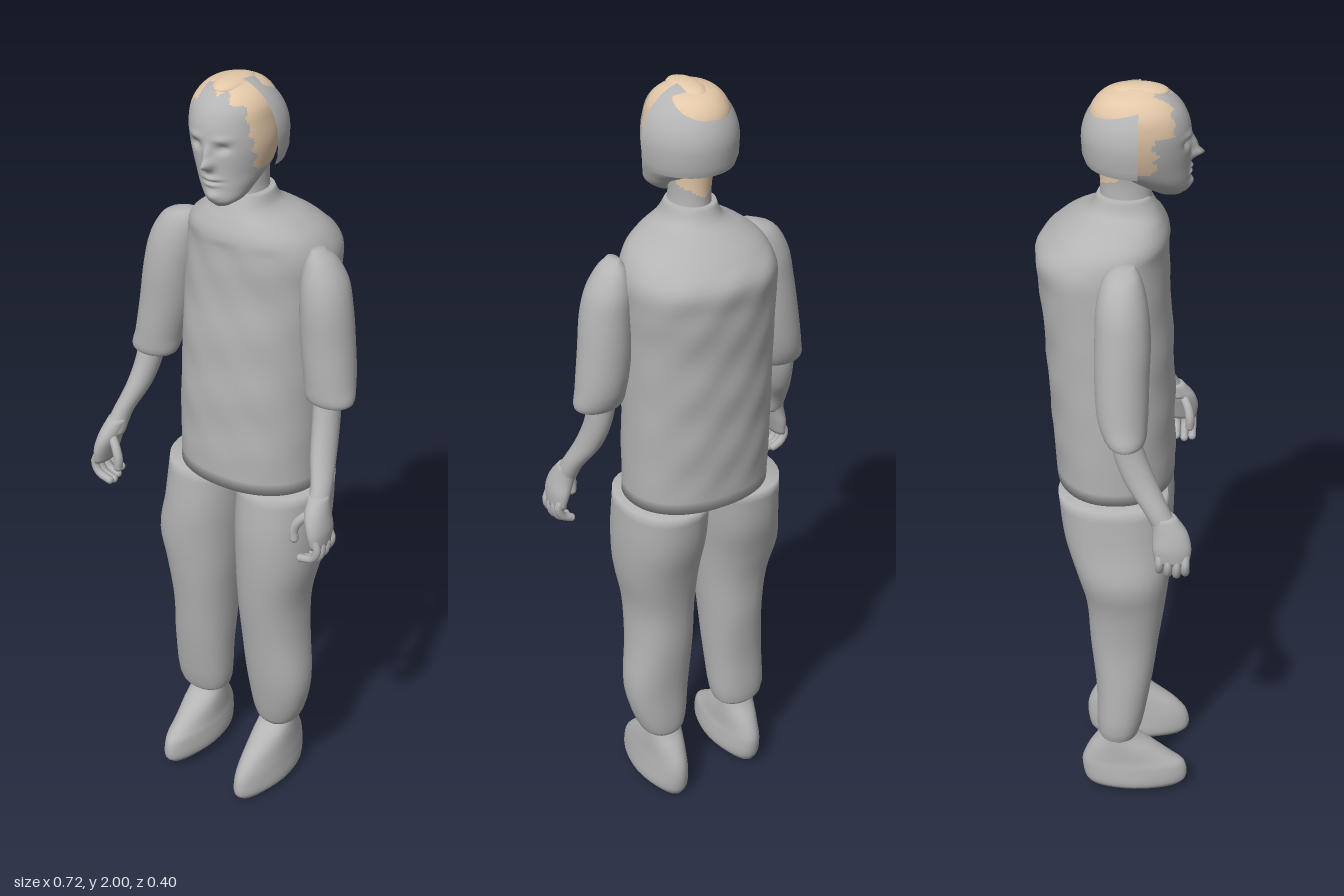
import * as THREE from 'three';

const grey = new THREE.MeshStandardMaterial({ color: 0xb4b4b4, side: THREE.DoubleSide });
grey.name = 'plain grey';
const skin = new THREE.MeshStandardMaterial({ color: 0xe3c8a8, side: THREE.DoubleSide });
skin.name = 'skin tone';

// Smooth skin through horizontal rings, bottom to top: [y, xMin, xMax, zBack, zFront]
function loft(rings, { seg = 32, steps = 28, power = 2, deform, isSkin } = {}) {
  const curves = [0, 1, 2, 3].map(k =>
    new THREE.CatmullRomCurve3(rings.map(r => new THREE.Vector3(r[k + 1], r[0], 0)), false, 'centripetal'));
  const pts = [];
  for (let i = 0; i <= steps; i++) {
    const c = curves.map(q => q.getPoint(i / steps));
    const [x0, x1, z0, z1] = c.map(p => p.x);
    for (let j = 0; j < seg; j++) {
      const a = j / seg * Math.PI * 2, s = Math.sin(a), k = Math.cos(a);
      const e = v => Math.sign(v) * Math.abs(v) ** (2 / power);
      const p = new THREE.Vector3((x0 + x1) / 2 + (x1 - x0) / 2 * e(s), c[0].y, (z0 + z1) / 2 + (z1 - z0) / 2 * e(k));
      if (deform) deform(p, k);
      pts.push(p);
    }
  }
  // centre points close both ends
  for (const r of [rings[0], rings[rings.length - 1]])
    pts.push(new THREE.Vector3((r[1] + r[2]) / 2, r[0], (r[3] + r[4]) / 2));
  const lists = [[], []];
  const tri = (a, b, c) => {
    const m = pts[a].clone().add(pts[b]).add(pts[c]).divideScalar(3);
    lists[isSkin && isSkin(m) ? 1 : 0].push(a, b, c);
  };
  const bottom = pts.length - 2, top = pts.length - 1, last = steps * seg;
  for (let j = 0; j < seg; j++) {
    const n = (j + 1) % seg;
    for (let i = 0; i < steps; i++) {
      const a = i * seg + j, b = i * seg + n;
      tri(a, b, b + seg);
      tri(a, b + seg, a + seg);
    }
    tri(bottom, n, j);
    tri(top, last + j, last + n);
  }
  const g = new THREE.BufferGeometry().setFromPoints(pts);
  g.setIndex([...lists[0], ...lists[1]]);
  g.addGroup(0, lists[0].length, 0);
  g.addGroup(lists[0].length, lists[1].length, 1);
  g.computeVertexNormals();
  return g;
}

export function createModel() {
  const model = new THREE.Group();
  const add = (name, geometry, material = grey) => {
    const m = new THREE.Mesh(geometry, material);
    m.name = name;
    model.add(m);
    return m;
  };
  const addLoft = (name, rings, opt = {}) => add(name, loft(rings, opt), opt.isSkin ? [grey, skin] : grey);

  // Long loose shirt with faint folds
  addLoft('shirt', [
    [0.945, -0.17, 0.212, -0.155, 0.143], [1.1, -0.172, 0.212, -0.165, 0.142],
    [1.25, -0.17, 0.212, -0.175, 0.138], [1.4, -0.168, 0.215, -0.185, 0.13],
    [1.5, -0.166, 0.222, -0.196, 0.122], [1.57, -0.162, 0.224, -0.2, 0.122],
    [1.62, -0.145, 0.2, -0.16, 0.122], [1.655, -0.105, 0.155, -0.115, 0.11],
    [1.685, -0.055, 0.095, -0.07, 0.095], [1.72, -0.04, 0.078, -0.05, 0.075],
  ], {
    seg: 56, steps: 44, power: 2.2,
    deform: p => {
      if (p.y > 1 && p.y < 1.6) p.z += 0.003 * Math.sin(p.y * 38 + p.x * 22) * Math.sin(p.x * 31 + 1);
    },
  });

  // Trouser legs
  addLoft('rightTrouserLeg', [
    [0.19, -0.165, -0.075, -0.035, 0.05], [0.205, -0.193, -0.056, -0.045, 0.062],
    [0.35, -0.198, -0.038, -0.05, 0.092], [0.5, -0.192, -0.026, -0.066, 0.112],
    [0.62, -0.205, -0.015, -0.075, 0.128], [0.72, -0.226, -0.006, -0.1, 0.138],
    [0.82, -0.21, 0.005, -0.13, 0.14], [0.945, -0.2, 0.018, -0.146, 0.13],
  ], { power: 2.2 });
  addLoft('leftTrouserLeg', [
    [0.18, 0.075, 0.155, -0.035, 0.05], [0.2, 0.058, 0.176, -0.045, 0.062],
    [0.33, 0.038, 0.215, -0.05, 0.09], [0.48, 0.028, 0.204, -0.066, 0.11],
    [0.6, 0.024, 0.204, -0.075, 0.127], [0.72, 0.018, 0.228, -0.1, 0.138],
    [0.83, 0.012, 0.236, -0.132, 0.14], [0.945, 0.012, 0.234, -0.146, 0.13],
  ], { power: 2.2 });

  // Shoes, with the toe drawn in towards a point
  for (const [name, x, y] of [['rightShoe', -0.121, 0.015], ['leftShoe', 0.113, 0]]) {
    addLoft(name, [
      [y, x - 0.04, x + 0.04, -0.07, 0.172], [y + 0.02, x - 0.056, x + 0.056, -0.082, 0.19],
      [y + 0.07, x - 0.054, x + 0.054, -0.09, 0.186], [0.11, x - 0.05, x + 0.05, -0.085, 0.155],
      [0.15, x - 0.048, x + 0.048, -0.066, 0.1], [0.185, x - 0.045, x + 0.045, -0.042, 0.05],
      [0.215, x - 0.04, x + 0.04, -0.03, 0.04],
    ], { power: 2.1, deform: p => { if (p.z > 0.06) p.x += (x - p.x) * (p.z - 0.06) * 1.6; } });
  }

  // Sleeves
  addLoft('rightSleeve', [
    [1.19, -0.3, -0.225, 0.0, 0.06], [1.2, -0.322, -0.2, -0.015, 0.078],
    [1.25, -0.312, -0.185, -0.036, 0.084], [1.35, -0.296, -0.158, -0.045, 0.086],
    [1.45, -0.28, -0.14, -0.045, 0.088], [1.53, -0.262, -0.125, -0.042, 0.08],
    [1.59, -0.225, -0.12, -0.025, 0.062], [1.613, -0.175, -0.135, 0.005, 0.045],
  ]);
  addLoft('leftSleeve', [
    [1.22, 0.235, 0.315, 0.0, 0.06], [1.23, 0.212, 0.337, -0.015, 0.078],
    [1.28, 0.205, 0.335, -0.036, 0.084], [1.38, 0.192, 0.326, -0.045, 0.086],
    [1.48, 0.19, 0.315, -0.045, 0.088], [1.54, 0.19, 0.3, -0.042, 0.08],
    [1.59, 0.2, 0.27, -0.022, 0.062], [1.615, 0.215, 0.24, 0.005, 0.045],
  ]);

  // Forearms, palms and curled fingers
  for (const [side, s] of [['right', -1], ['left', 1]]) {
    const ring = (y, inner, outer, z0, z1) => [y, Math.min(s * inner, s * outer), Math.max(s * inner, s * outer), z0, z1];
    addLoft(side + 'Forearm', [
      ring(0.98, 0.29, 0.342, 0.105, 0.17), ring(1.03, 0.284, 0.334, 0.078, 0.142),
      ring(1.1, 0.256, 0.316, 0.03, 0.108), ring(1.17, 0.24, 0.305, 0.002, 0.08), ring(1.25, 0.23, 0.3, -0.01, 0.06),
    ], { seg: 20 });
    addLoft(side + 'Palm', [
      ring(0.9, 0.322, 0.354, 0.108, 0.19), ring(0.94, 0.308, 0.356, 0.1, 0.195),
      ring(0.98, 0.294, 0.348, 0.1, 0.185), ring(1.02, 0.288, 0.336, 0.092, 0.155),
    ], { seg: 20, steps: 12 });
    const digit = (name, path, r) => {
      const v = path.map(p => new THREE.Vector3(s * p[0], p[1], p[2]));
      add(name, new THREE.TubeGeometry(new THREE.CatmullRomCurve3(v), 8, r, 8));
      add(name + 'Tip', new THREE.SphereGeometry(r, 8, 6)).position.copy(v[v.length - 1]);
    };
    for (let i = 0; i < 4; i++) {
      const z = 0.118 + i * 0.021, d = [0.014, 0.004, 0, 0.008][i];
      digit(side + 'Finger' + (i + 1),
        [[0.338, 0.925, z], [0.348, 0.89 + d, z], [0.335, 0.863 + d, z], [0.312 - i * 0.004, 0.852 + d, z]], 0.0105);
    }
    digit(side + 'Thumb', [[0.31, 0.98, 0.155], [0.285, 0.955, 0.17], [0.274, 0.93, 0.175], [0.276, 0.905, 0.175]], 0.012);
  }

  // Neck with bare nape
  addLoft('neck', [
    [1.66, -0.04, 0.09, -0.05, 0.09], [1.71, -0.032, 0.07, -0.045, 0.08],
    [1.76, -0.03, 0.066, -0.045, 0.075], [1.84, -0.04, 0.07, -0.055, 0.07],
  ], { isSkin: p => p.y > 1.74 + Math.abs(p.x - 0.015) * 0.6 && p.z < 0 });

  // Head: features are soft bumps and dents [x, y, width, height, depth]
  const features = [
    [0.021, 1.826, 0.011, 0.013, 0.03], [0.017, 1.85, 0.008, 0.02, 0.016],
    [-0.02, 1.866, 0.015, 0.01, -0.012], [0.05, 1.866, 0.015, 0.01, -0.012],
    [-0.022, 1.888, 0.02, 0.008, 0.005], [0.05, 1.888, 0.02, 0.008, 0.005],
    [0.025, 1.791, 0.02, 0.006, 0.008], [0.026, 1.776, 0.018, 0.005, 0.006],
    [0.026, 1.784, 0.022, 0.003, -0.006], [0.03, 1.75, 0.018, 0.012, 0.008],
  ];
  addLoft('head', [
    [1.718, 0.01, 0.05, 0.09, 0.15], [1.735, -0.012, 0.072, 0.06, 0.167],
    [1.765, -0.04, 0.085, 0.012, 0.168], [1.8, -0.062, 0.095, -0.045, 0.168],
    [1.86, -0.083, 0.104, -0.065, 0.17], [1.91, -0.09, 0.1, -0.07, 0.167],
    [1.95, -0.086, 0.092, -0.062, 0.15], [1.98, -0.064, 0.068, -0.035, 0.118],
    [1.996, -0.025, 0.03, 0.015, 0.075],
  ], {
    seg: 80, steps: 80, power: 2.1,
    deform: (p, front) => {
      if (front < 0.2) return;
      for (const [x, y, w, h, d] of features)
        p.z += d * Math.exp(-(((p.x - x) / w) ** 2) - ((p.y - y) / h) ** 2);
    },
    // bare scalp with a ragged hairline
    isSkin: p => {
      if (p.y < 1.8) return false;
      const ragged = 0.007 * Math.sin(p.x * 150) + 0.006 * Math.sin(p.y * 170);
      if (p.x < -0.04) return p.z < (p.y > 1.9 ? 0.132 : 0.085) + ragged;
      if (p.x < -0.01) return p.z < 0.085 + ragged;
      return p.z < 0.08 + (p.y - 1.8) * 0.2 + ragged;
    },
  });

  // Rounded half shell over the back of the head
  const shell = [[0.114, 1.808], [0.121, 1.83], [0.123, 1.87]].map(p => new THREE.Vector2(...p));
  for (let i = 1; i <= 14; i++) {
    const a = i / 14 * Math.PI / 2;
    shell.push(new THREE.Vector2(0.123 * Math.cos(a), 1.87 + 0.13 * Math.sin(a)));
  }
  const cap = add('backHair', new THREE.LatheGeometry(shell, 40, Math.PI / 2, Math.PI));
  cap.scale.z = 1.12;
  cap.position.set(0.007, 0, 0.05);

  // Bare patch on the crown
  const patch = add('crownPatch', new THREE.SphereGeometry(1, 24, 10, 0, Math.PI * 2, 0, Math.PI / 2), skin);
  patch.scale.set(0.038, 0.018, 0.068);
  patch.position.set(0.005, 1.984, 0.05);

  return model;
}
